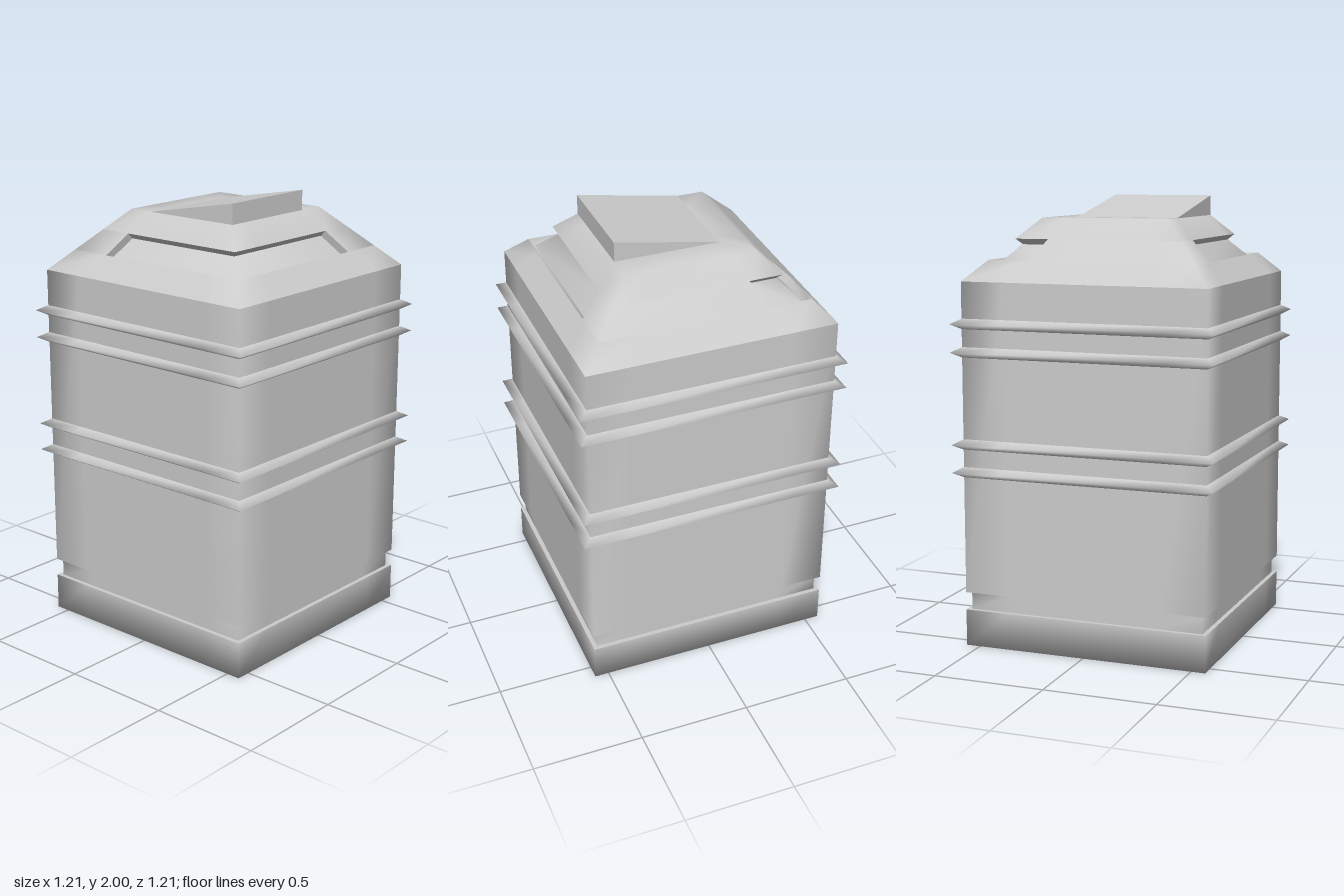
import * as THREE from 'three';
import { mergeVertices } from 'three/addons/utils/BufferGeometryUtils.js';

const grey = new THREE.MeshStandardMaterial({ color: 0xcccccc });
const greyDouble = new THREE.MeshStandardMaterial({ color: 0xcccccc, side: THREE.DoubleSide });

// Skin rows of points (bottom row first); normals are smooth within one loft
function loft(rows, closed) {
  const n = rows[0].length, index = [];
  for (let r = 0; r < rows.length - 1; r++) {
    for (let j = 0; j < (closed ? n : n - 1); j++) {
      const a = r * n + j, b = r * n + (j + 1) % n;
      index.push(a, b, b + n, a, b + n, a + n);
    }
  }
  const g = new THREE.BufferGeometry();
  g.setAttribute('position', new THREE.Float32BufferAttribute(rows.flat(2), 3));
  g.setIndex(index);
  g.computeVertexNormals();
  return g;
}

// Square cross-section; the extra points keep corner shading near the corners
function square([h, y]) {
  const pts = [];
  for (let s = 0; s < 4; s++) {
    for (const t of [-1, -0.65, 0.65]) {
      let x = t * h, z = h;
      for (let k = 0; k < s; k++) [x, z] = [z, -x];
      pts.push([x, y, z]);
    }
  }
  return pts;
}

export function createModel() {
  const model = new THREE.Group();
  const add = (name, geometry, material = grey, parent = model) => {
    const mesh = new THREE.Mesh(geometry, material);
    mesh.name = name;
    parent.add(mesh);
    return mesh;
  };
  const group = (name) => {
    const g = new THREE.Group();
    g.name = name;
    model.add(g);
    return g;
  };
  const shell = (name, profile, parent) => add(name, loft(profile.map(square), true), grey, parent);

  // Base, groove and main body
  shell('baseCentre', [[0, 0], [0.3, 0]]);
  shell('base', [[0.3, 0], [0.565, 0], [0.565, 0.165]]);
  const groove = group('groove');
  shell('grooveFloor', [[0.565, 0.165], [0.545, 0.165]], groove);
  shell('grooveWall', [[0.545, 0.165], [0.545, 0.245]], groove);
  shell('grooveCeiling', [[0.545, 0.245], [0.565, 0.245]], groove);
  shell('body', [[0.565, 0.245], [0.565, 1.64]]);

  // Two pairs of pointed ridges
  const ridges = group('ridges');
  for (const y of [0.795, 0.92, 1.33, 1.455]) {
    shell('ridge', [[0.565, y - 0.023], [0.605, y], [0.565, y + 0.023]], ridges);
  }

  // Sloped roof below and above the slots
  const roof = group('roof');
  const LOW = 1.73, HIGH = 1.82, OUT = 0.475, IN = 0.385;
  shell('roofLower', [[0.565, 1.64], [OUT, LOW]], roof);
  shell('roofUpper', [[IN, HIGH], [0.295, 1.91], [0.18, 1.91], [0, 1.91]], roof);

  // An L-shaped path round one corner, at half width h
  const lowEnd = 0.28, highEnd = 0.23;
  const corner = (sx, sz, h, e, y) => {
    // the slots reach past the centre; the solid parts start where they stop
    const ex = e, ez = -e;
    const pts = [[ex, y, sz * h], [sx * h, y, sz * h], [sx * h, y, ez]];
    return sx * sz > 0 === sz > 0 ? pts : pts.reverse();
  };

  // Solid slope between the slots, at two opposite corners
  for (const s of [1, -1]) {
    add('roofMiddle', loft([corner(s, s, OUT, lowEnd, LOW), corner(s, s, IN, highEnd, HIGH)], false), greyDouble, roof);
  }

  // Recessed slots wrapping the other two corners
  const D = 0.025;
  for (const s of [1, -1]) {
    const low = corner(-s, s, OUT, lowEnd, LOW);
    const high = corner(-s, s, IN, highEnd, HIGH);
    const lowFloor = corner(-s, s, OUT - D, lowEnd, LOW - D);
    const highFloor = corner(-s, s, IN - D, highEnd, HIGH - D);
    const slot = group('slot');
    add('slotLowerWall', loft([low, lowFloor], false), greyDouble, slot);
    add('slotFloor', loft([lowFloor, highFloor], false), greyDouble, slot);
    add('slotUpperWall', loft([highFloor, high], false), greyDouble, slot);
    for (const k of [0, 2]) {
      add('slotEnd', loft([[low[k], lowFloor[k]], [high[k], highFloor[k]]], false), greyDouble, slot);
    }
  }

  // Wedge-shaped lid, tall at the front
  const side = new THREE.Shape([
    new THREE.Vector2(-0.295, 1.905), new THREE.Vector2(0.175, 1.905),
    new THREE.Vector2(0.175, 1.911), new THREE.Vector2(-0.295, 2),
  ]);
  const lid = new THREE.ExtrudeGeometry(side, { depth: 0.47, bevelEnabled: false });
  lid.rotateY(Math.PI / 2).translate(-0.295, 0, 0);
  add('lid', mergeVertices(lid));

  return model;
}
